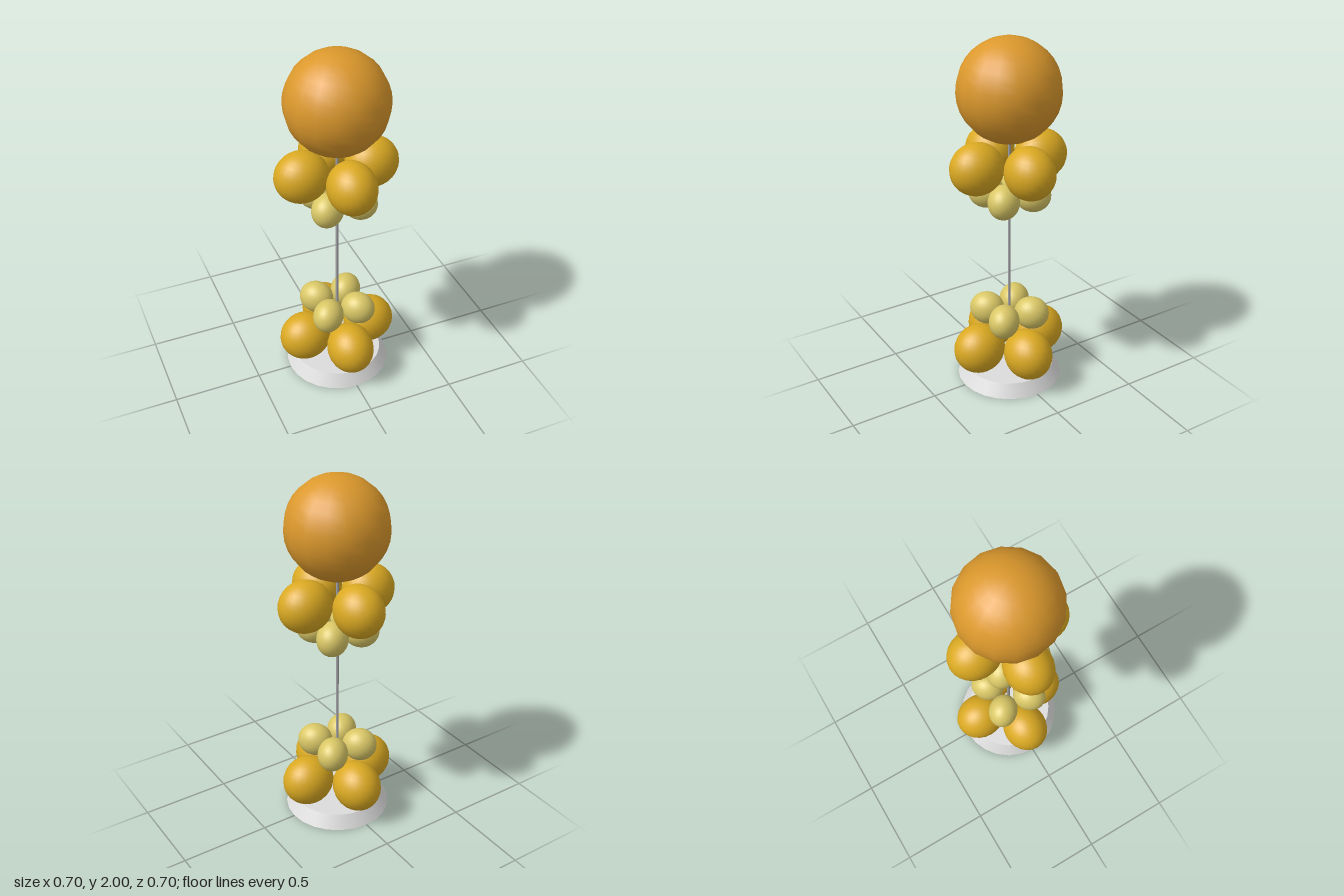
import * as THREE from 'three';

const material = (name, color) => {
  const m = new THREE.MeshStandardMaterial({ color });
  m.name = name;
  return m;
};

export function createModel() {
  const model = new THREE.Group();
  model.name = 'ornament';
  const orange = material('orange', 0xdb982c);
  const gold = material('gold', 0xdaa922);
  const pale = material('paleGold', 0xd9c766);
  const grey = material('lightGrey', 0xdcdcdc);
  const steel = material('steel', 0xa4a4a8);

  const add = (name, geometry, mat, y, parent = model) => {
    const mesh = new THREE.Mesh(geometry, mat);
    mesh.name = name;
    mesh.position.y = y;
    parent.add(mesh);
    return mesh;
  };

  // Flared foot and thin rod
  add('base', new THREE.CylinderGeometry(0.255, 0.3, 0.075, 24), grey, 0.0375);
  add('rod', new THREE.CylinderGeometry(0.008, 0.008, 1.45, 12), steel, 0.775);

  // Large ball on top
  add('topBall', new THREE.SphereGeometry(0.28, 16, 16), orange, 1.72);

  // Ring of four balls, each stretched outwards from the rod
  const ring = (name, mat, y, distance, [across, high, outward], turn) => {
    const group = new THREE.Group();
    group.name = name;
    const geometry = new THREE.SphereGeometry(1, 24, 16);
    geometry.scale(across, high, outward);
    for (let i = 0; i < 4; i++) {
      const angle = turn + i * Math.PI / 2;
      const ball = add(name + 'Ball', geometry, mat, y, group);
      ball.position.x = Math.sin(angle) * distance;
      ball.position.z = Math.cos(angle) * distance;
      ball.rotation.y = angle;
    }
    model.add(group);
  };

  const large = [0.132, 0.143, 0.15];
  const small = [0.086, 0.095, 0.1];
  ring('lowerLargeRing', gold, 0.217, 0.2, large, 0);
  ring('lowerSmallRing', pale, 0.405, 0.13, small, Math.PI / 4);
  ring('upperSmallRing', pale, 1.143, 0.13, small, Math.PI / 4);
  ring('upperLargeRing', gold, 1.325, 0.2, large, 0);

  return model;
}
